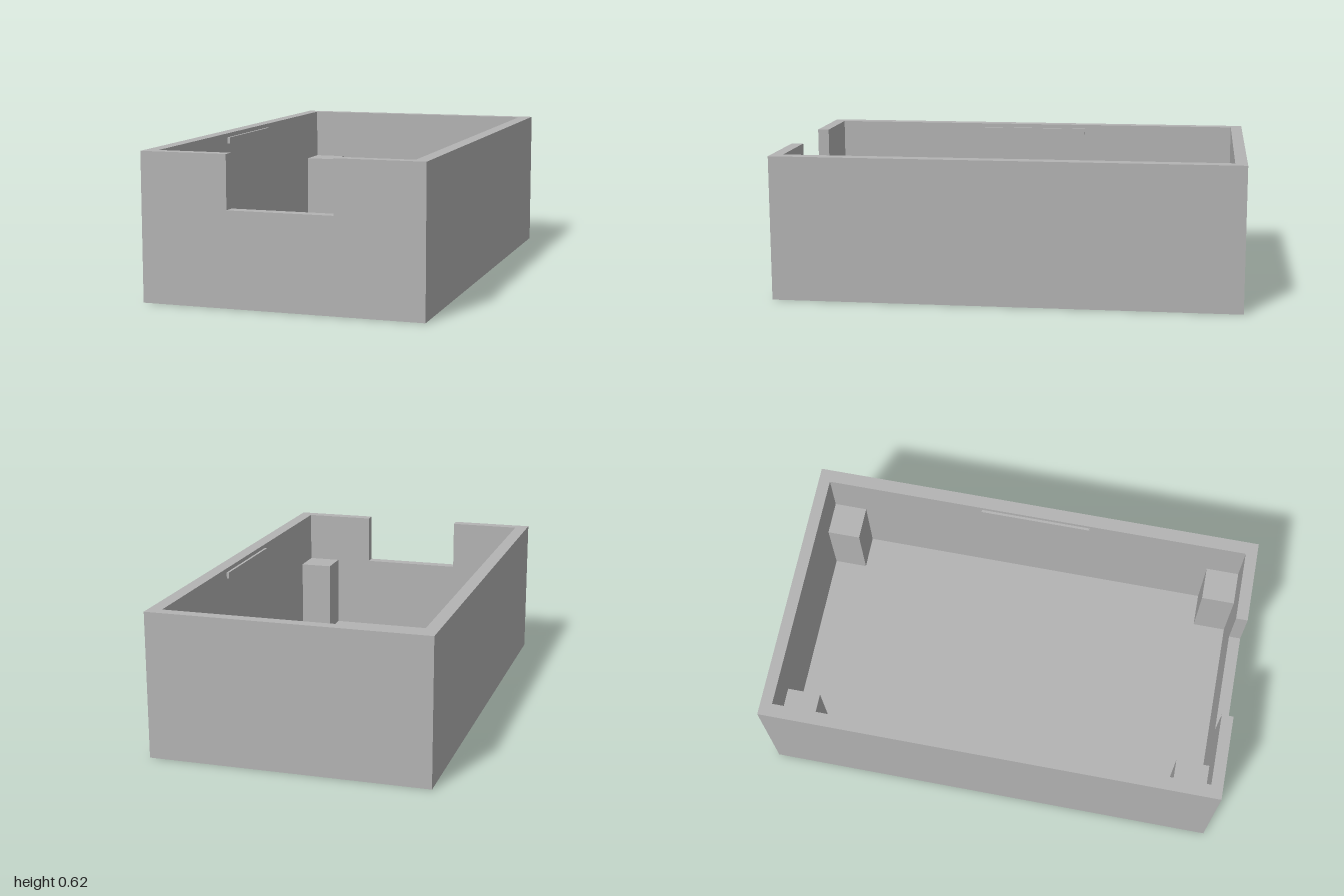
import * as THREE from 'three';

const W = 0.595, L = 1, H = 0.622;      // outer half width, half length, height
const IW = 0.538, IL = 0.949;           // inner half width, half length
const FLOOR = 0.06;
const NOTCH_W = 0.224, NOTCH_Y = 0.398;

const polygon = (pts) => new THREE.Shape(pts.map(([x, y]) => new THREE.Vector2(x, y)));

export function createModel() {
  const model = new THREE.Group();
  model.name = 'openTray';
  const grey = new THREE.MeshStandardMaterial({ color: 0xb3b3b3 });
  grey.name = 'grey';

  const add = (name, geometry, x = 0, y = 0, z = 0) => {
    const mesh = new THREE.Mesh(geometry, grey);
    mesh.name = name;
    mesh.position.set(x, y, z);
    model.add(mesh);
  };
  // Box given by its minimum and maximum corners
  const addBox = (name, [x0, y0, z0], [x1, y1, z1]) =>
    add(name, new THREE.BoxGeometry(x1 - x0, y1 - y0, z1 - z0),
      (x0 + x1) / 2, (y0 + y1) / 2, (z0 + z1) / 2);

  // Floor
  addBox('floor', [-W, 0, -L], [W, FLOOR, L]);

  // Side and back walls as one U-shaped extrusion, open to the front
  const walls = new THREE.ExtrudeGeometry(polygon([
    [-W, -IL], [-IW, -IL], [-IW, IL], [IW, IL], [IW, -IL], [W, -IL], [W, L], [-W, L],
  ]), { depth: H - FLOOR, bevelEnabled: false });
  walls.rotateX(-Math.PI / 2);
  add('sideAndBackWalls', walls, 0, FLOOR, 0);

  // Front wall with the notch cut from its upper edge
  const front = new THREE.ExtrudeGeometry(polygon([
    [-W, FLOOR], [W, FLOOR], [W, H], [NOTCH_W, H], [NOTCH_W, NOTCH_Y],
    [-NOTCH_W, NOTCH_Y], [-NOTCH_W, H], [-W, H],
  ]), { depth: L - IL, bevelEnabled: false });
  add('frontWall', front, 0, 0, IL);

  // Corner posts and the thin snap ridges on the side walls
  for (const side of [-1, 1]) {
    const name = side > 0 ? 'left' : 'right';
    for (const end of [-1, 1]) {
      add(`${name}${end > 0 ? 'Front' : 'Back'}Post`,
        new THREE.BoxGeometry(IW - 0.39, 0.392 - FLOOR, IL - 0.803),
        side * (IW + 0.39) / 2, (0.392 + FLOOR) / 2, end * (IL + 0.803) / 2);
    }
    add(`${name}Ridge`, new THREE.BoxGeometry(0.011, 0.028, 0.494),
      side * (IW - 0.0055), 0.59, 0);
  }
  return model;
}
